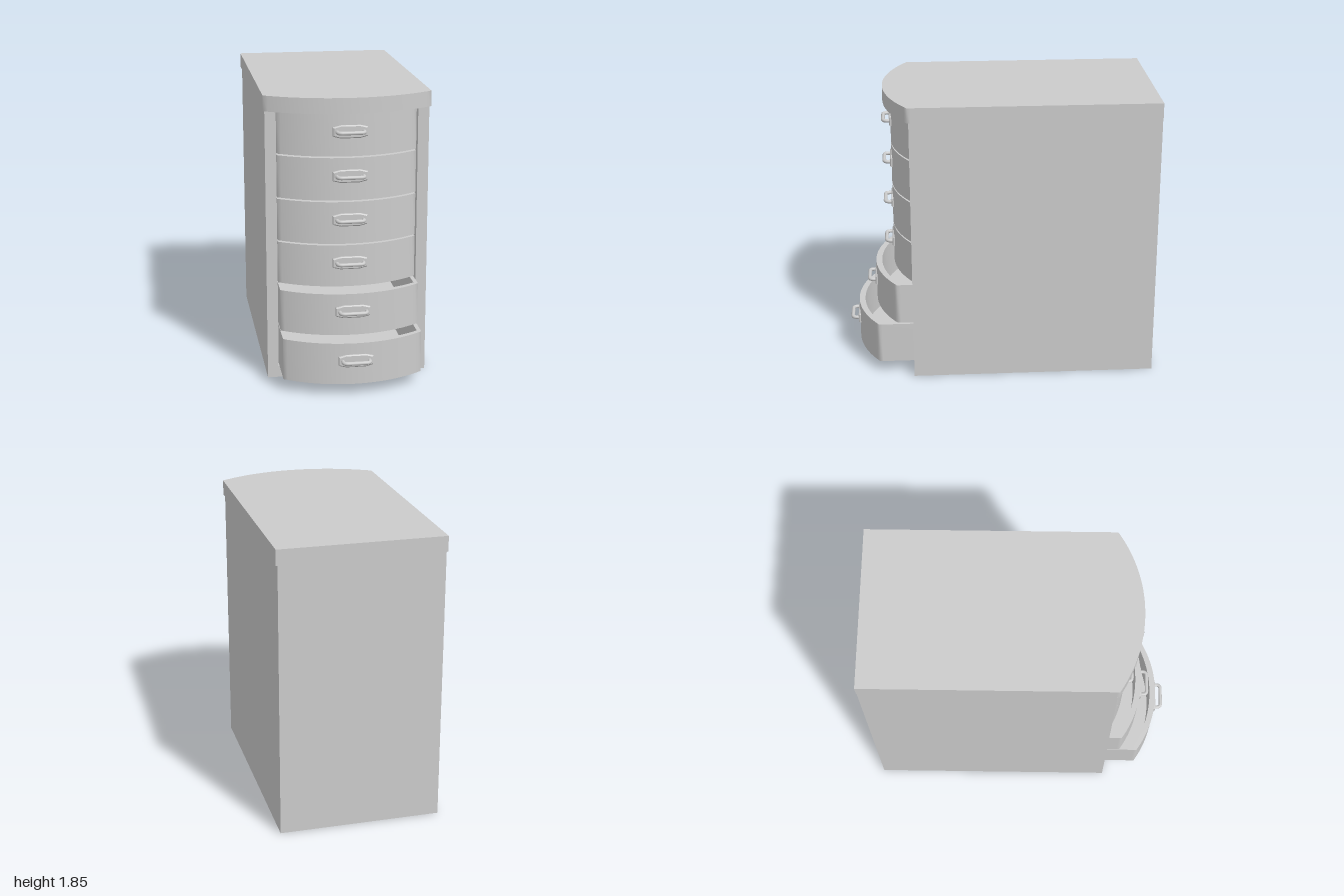
import * as THREE from 'three';
import { toCreasedNormals } from 'three/addons/utils/BufferGeometryUtils.js';

const material = new THREE.MeshStandardMaterial({ color: 0xcccccc });

// Outline seen from above: straight back and sides, bowed front (shape y = model z)
function bowOutline(half, back, corner, apex, Type = THREE.Shape) {
  const rise = apex - corner;
  const radius = (half * half + rise * rise) / (2 * rise);
  const spread = Math.asin(half / radius);
  const points = [[-half, back], [half, back], [half, corner - 0.02]];
  const steps = 32;
  for (let i = 0; i <= steps; i++) {
    const a = spread * (1 - (2 * i) / steps);
    points.push([radius * Math.sin(a), apex - radius + radius * Math.cos(a)]);
  }
  points.push([-half, corner - 0.02]);
  return new Type(points.map(([x, y]) => new THREE.Vector2(x, y)));
}

// Extrude an outline upwards from y = bottom
function slab(name, outline, bottom, height) {
  const geometry = new THREE.ExtrudeGeometry(outline, { depth: height, bevelEnabled: false });
  geometry.rotateX(Math.PI / 2).translate(0, bottom + height, 0);
  const mesh = new THREE.Mesh(toCreasedNormals(geometry, 1.1), material);
  mesh.name = name;
  return mesh;
}

function box(name, x0, x1, y0, y1, z0, z1) {
  const mesh = new THREE.Mesh(new THREE.BoxGeometry(x1 - x0, y1 - y0, z1 - z0), material);
  mesh.position.set((x0 + x1) / 2, (y0 + y1) / 2, (z0 + z1) / 2);
  mesh.name = name;
  return mesh;
}

// Bevelled eight-sided plate with a bent round bar
function createHandle() {
  const handle = new THREE.Group();
  handle.name = 'handle';
  const corners = [[0.06, 0.034], [-0.06, 0.034], [-0.102, 0.023], [-0.102, -0.023],
    [-0.06, -0.034], [0.06, -0.034], [0.102, -0.023], [0.102, 0.023]];
  const plateShape = new THREE.Shape(corners.map(([x, y]) => new THREE.Vector2(x, y)));
  const plate = new THREE.Mesh(new THREE.ExtrudeGeometry(plateShape, {
    depth: 0.014, bevelThickness: 0.006, bevelSize: 0.007, bevelSegments: 1,
  }), material);
  plate.name = 'handlePlate';
  plate.position.z = -0.012;

  const w = 0.084, out = 0.047, bend = 0.028;
  const v = (x, z) => new THREE.Vector3(x, 0, z);
  const path = new THREE.CurvePath();
  path.add(new THREE.LineCurve3(v(-w, -0.01), v(-w, out - bend)));
  path.add(new THREE.QuadraticBezierCurve3(v(-w, out - bend), v(-w, out), v(-w + bend, out)));
  path.add(new THREE.LineCurve3(v(-w + bend, out), v(w - bend, out)));
  path.add(new THREE.QuadraticBezierCurve3(v(w - bend, out), v(w, out), v(w, out - bend)));
  path.add(new THREE.LineCurve3(v(w, out - bend), v(w, -0.01)));
  const bar = new THREE.Mesh(new THREE.TubeGeometry(path, 48, 0.012, 12), material);
  bar.name = 'handleBar';
  handle.add(plate, bar);
  return handle;
}

// Open tray with a bowed front; origin at the bottom, front apex at z = 0.695
function createDrawer() {
  const drawer = new THREE.Group();
  drawer.name = 'drawer';
  const walls = bowOutline(0.44, -0.9, 0.555, 0.695);
  walls.holes.push(bowOutline(0.415, -0.87, 0.535, 0.655, THREE.Path));
  drawer.add(slab('drawerWalls', walls, 0, 0.27));
  drawer.add(slab('drawerFloor', bowOutline(0.42, -0.88, 0.54, 0.67), 0.0005, 0.02));
  const handle = createHandle();
  handle.position.set(0, 0.155, 0.695);
  drawer.add(handle);
  return drawer;
}

export function createModel() {
  const model = new THREE.Group();
  model.name = 'drawerCabinet';

  // Hollow carcass, open at the front
  const front = 0.578, top = 1.752;
  for (const s of [-1, 1]) {
    const side = box('sidePanel', -0.035, 0.035, 0, top, -1, front);
    side.position.x = s * 0.48;
    model.add(side);
  }
  model.add(box('bottomPanel', -0.445, 0.445, 0, 0.073, -1, front));
  model.add(box('backPanel', -0.445, 0.445, 0.073, top, -1, -0.95));

  // Worktop with a bowed front edge
  model.add(slab('worktop', bowOutline(0.525, -1, 0.585, 0.743), top, 1.85 - top));

  // Six drawers, the lowest two pulled out
  const pulls = [0.246, 0.123, 0, 0, 0, 0];
  pulls.forEach((pull, i) => {
    const drawer = createDrawer();
    drawer.position.set(0, 0.077 + i * 0.28, pull);
    model.add(drawer);
  });
  return model;
}
